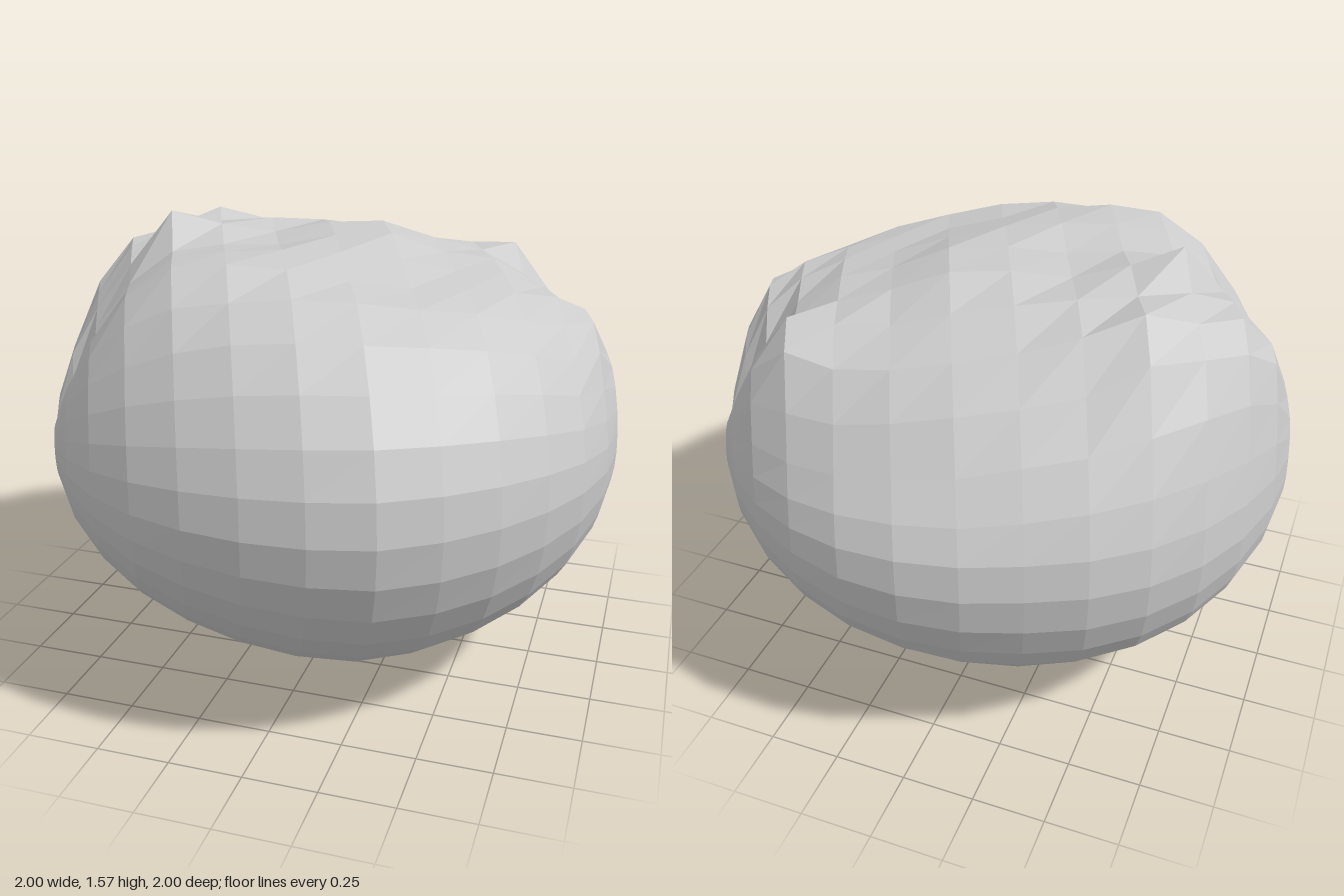
import * as THREE from 'three';

// Dents and bulges of the crumpled top: x, z, height, radius along x, radius along z
const bumps = [
  [-0.55, 0.06, 0.18, 0.15, 0.15],   // highest peak
  [-0.62, -0.36, 0.17, 0.22, 0.2],   // ridge behind the peak
  [-0.86, -0.08, 0.2, 0.18, 0.24],   // raised side
  [0.1, -0.15, 0.03, 0.1, 0.12],     // second peak
  [-0.42, 0.5, 0.12, 0.26, 0.2],     // raised front panel
  [-0.12, 0.74, 0.04, 0.35, 0.18],
  [0.2, 0.3, -0.04, 0.2, 0.15],      // slope beside the panel
  [-0.18, 0.0, -0.05, 0.2, 0.14],    // hollow behind the panel
  [0.36, 0.0, -0.04, 0.16, 0.3],     // sag towards the other side
  [0.92, -0.08, 0.12, 0.2, 0.18],    // shoulder
  [0.85, -0.4, -0.13, 0.18, 0.09],   // notch over one pole
  [0.54, -0.59, 0.15, 0.16, 0.15],   // ridge beside that notch
  [0.0, -0.86, -0.06, 0.5, 0.14],    // sunken back
  [-0.82, 0.43, -0.16, 0.13, 0.08],  // notch over the other pole
];

// Small repeatable creases that depend only on position
const crease = (x, z) => Math.sin(19 * x + 7 * z) * Math.sin(17 * z - 5 * x + 1);

function createBody() {
  // Faceted ball lying on its side, with its poles turned off the x axis
  const turn = 0.41;
  const geo = new THREE.SphereGeometry(1, 32, 16).rotateZ(-Math.PI / 2).rotateY(turn);
  const pos = geo.attributes.position;
  for (let i = 0; i < pos.count; i++) {
    const x = pos.getX(i), h = pos.getY(i), z = pos.getZ(i);

    // Ridge around the middle, strongest at the front and underneath
    const along = Math.abs(x * Math.cos(turn) - z * Math.sin(turn));
    const across = x * Math.sin(turn) + z * Math.cos(turn);
    const ridge = Math.max(0, 1 - along / 0.5);
    const spread = 1 + 0.03 * ridge * across;

    let y;
    if (h <= 0) {
      // Smooth lower half, slightly conical from front to back
      y = 0.82 + 0.8 * h * (1 - 0.16 * z * z) * (1 + 0.025 * ridge);
    } else {
      // Flattened upper half with lumps, notches and creases
      y = 0.82 + 0.71 * h;
      const grip = Math.min(1, h * 2.5);
      for (const [bx, bz, amount, rx, rz] of bumps)
        y += grip * amount * Math.exp(-(((x - bx) / rx) ** 2) - ((z - bz) / rz) ** 2);
      y += 0.018 * THREE.MathUtils.smoothstep(h, 0.6, 0.9) * crease(x, z);
    }
    pos.setXYZ(i, x * spread, y, z * spread);
  }

  // Stand on the ground, centred
  geo.computeBoundingBox();
  const { min, max } = geo.boundingBox;
  geo.translate(-(min.x + max.x) / 2, -min.y, -(min.z + max.z) / 2);
  geo.computeVertexNormals();
  return geo;
}

export function createModel() {
  const group = new THREE.Group();
  const material = new THREE.MeshStandardMaterial({
    color: 0xcccccc, flatShading: true, side: THREE.DoubleSide,
  });
  const body = new THREE.Mesh(createBody(), material);
  body.name = 'crumpledBall';
  group.add(body);
  return group;
}
